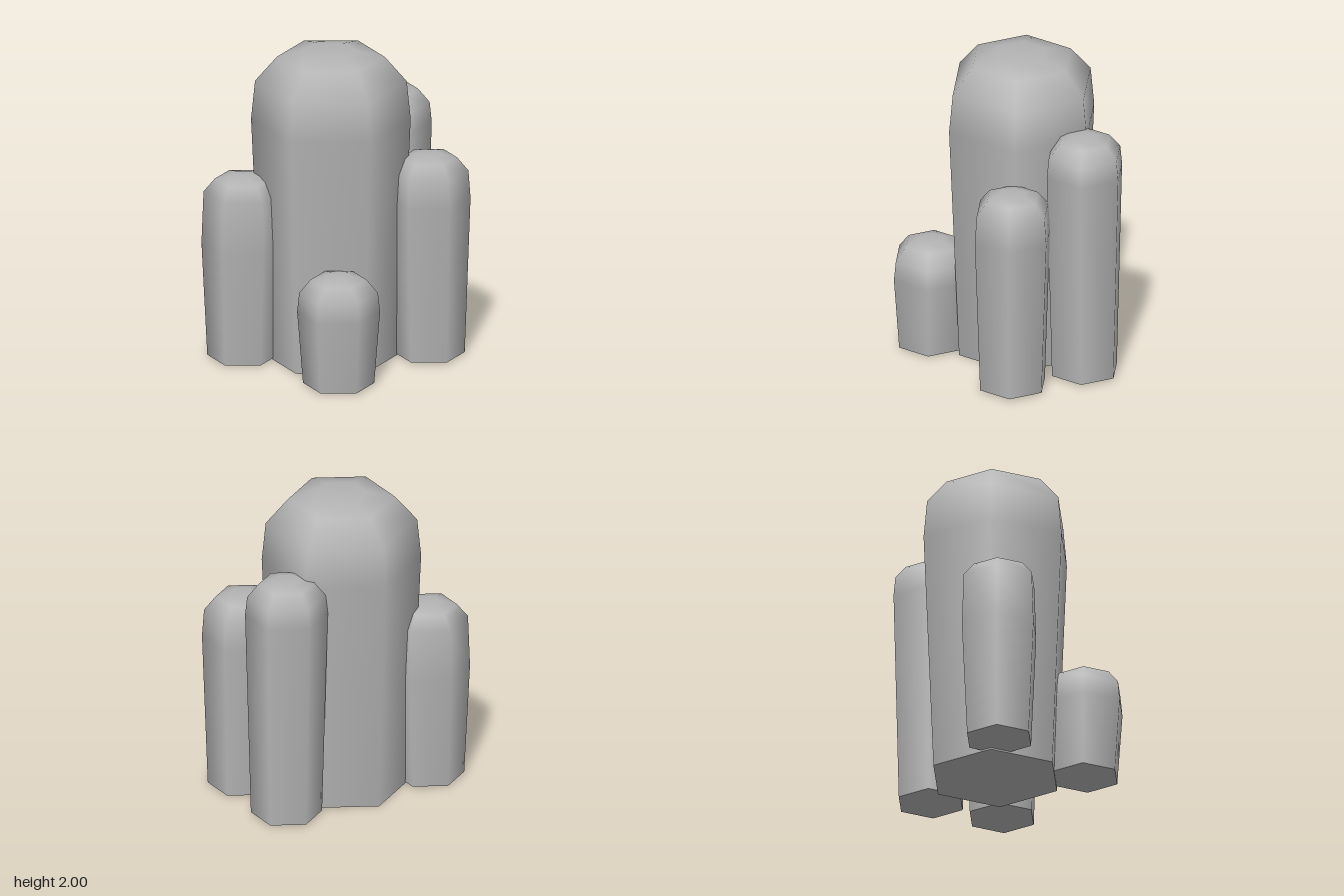
import * as THREE from 'three';

const SIDES = 6;

// One rounded hexagonal column: smooth lathe wall and crown, flat base cap.
function column(name, material, { x, z, base, baseR, r, waist, shoulder, rim, top }) {
  const group = new THREE.Group();
  group.name = name;
  const profile = [
    [baseR, base],
    [r, waist],
    [r * 0.95, shoulder],
    [r * 0.675, rim],
    [r * 0.335, top - 0.002],
    [0, top],
  ].map(([px, py]) => new THREE.Vector2(px, py));

  const wall = new THREE.Mesh(new THREE.LatheGeometry(profile, SIDES, Math.PI / 2), material);
  wall.name = name + 'Body';

  const cap = new THREE.Mesh(new THREE.CircleGeometry(baseR, SIDES).rotateX(Math.PI / 2), material);
  cap.name = name + 'Base';
  cap.position.y = base;

  group.add(wall, cap);
  group.position.set(x, 0, z);
  return group;
}

export function createModel() {
  const model = new THREE.Group();
  model.name = 'columnCluster';
  const stone = new THREE.MeshStandardMaterial({ color: 0xb4b4b4 });
  stone.name = 'grey stone';

  // Tall central column
  model.add(column('mainColumn', stone, {
    x: -0.035, z: -0.068, base: 0, baseR: 0.427, r: 0.495,
    waist: 1.55, shoulder: 1.8, rim: 1.96, top: 2,
  }));

  // Four slimmer columns around it
  const small = { base: 0.01, baseR: 0.221, r: 0.257 };
  const around = [
    ['rightColumn', { x: -0.58, z: -0.008, waist: 0.75, shoulder: 1.09, rim: 1.175, top: 1.198 }],
    ['leftColumn', { x: 0.574, z: -0.068, waist: 1.03, shoulder: 1.21, rim: 1.297, top: 1.32 }],
    ['backColumn', { x: 0.33, z: -0.493, waist: 1.38, shoulder: 1.505, rim: 1.592, top: 1.615 }],
    ['frontColumn', { x: 0.017, z: 0.488, waist: 0.48, shoulder: 0.605, rim: 0.692, top: 0.715 }],
  ];
  for (const [name, spec] of around) model.add(column(name, stone, { ...small, ...spec }));

  return model;
}
